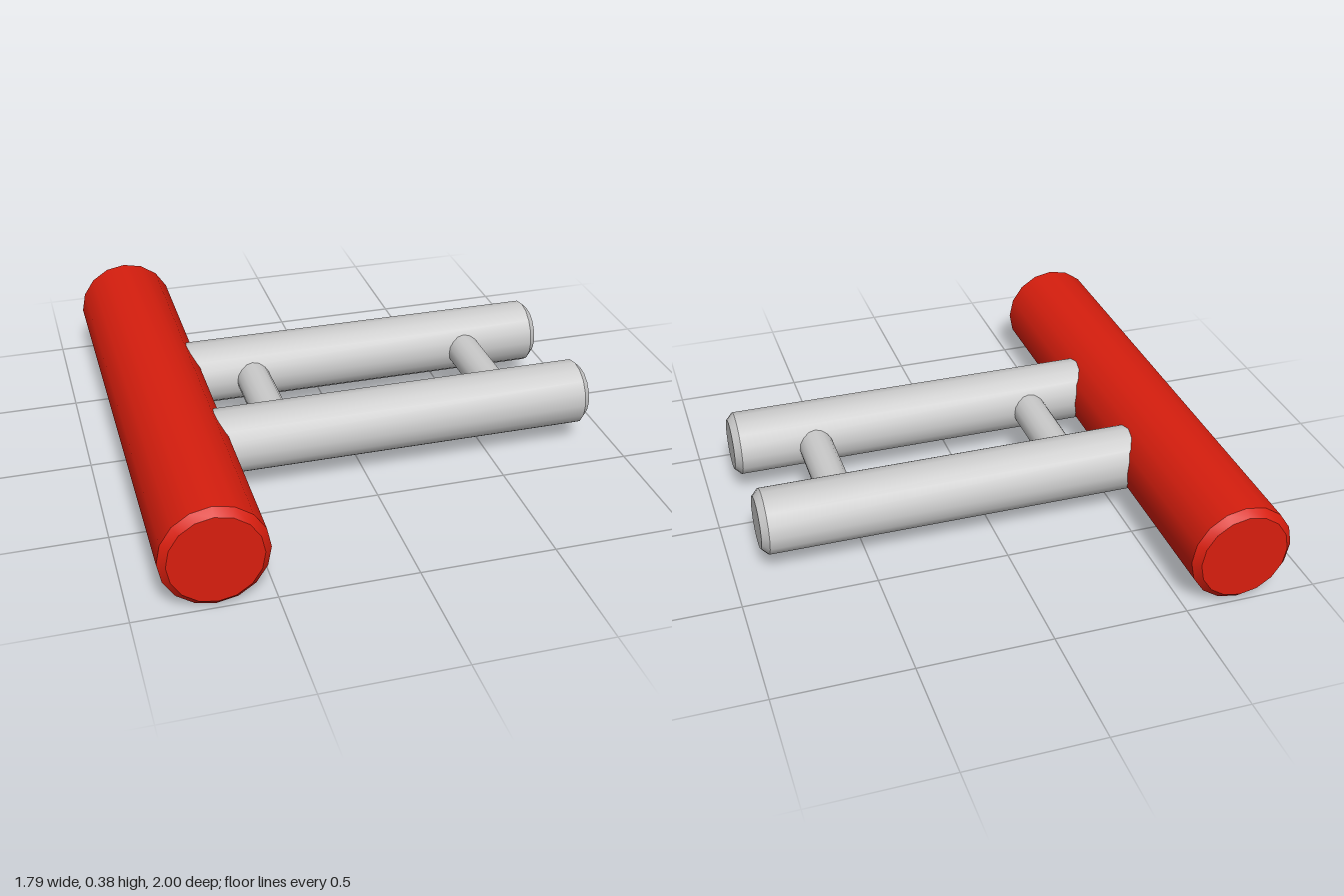
import * as THREE from 'three';
import { toCreasedNormals } from 'three/addons/utils/BufferGeometryUtils.js';

const SIDES = 16;
const AXIS_Y = 0.192;

// Round bar along y with chamfered ends, centred on the origin
function barGeometry(radius, length, chamfer) {
  const h = length / 2;
  const profile = [
    [0, -h], [radius - chamfer, -h], [radius, -h + chamfer],
    [radius, h - chamfer], [radius - chamfer, h], [0, h],
  ].map(([x, y]) => new THREE.Vector2(x, y));
  return toCreasedNormals(new THREE.LatheGeometry(profile, SIDES), 0.6);
}

function addMesh(group, name, geometry, material, x, z) {
  const mesh = new THREE.Mesh(geometry, material);
  mesh.name = name;
  mesh.position.set(x, AXIS_Y, z);
  group.add(mesh);
}

export function createModel() {
  const group = new THREE.Group();
  group.name = 'barHandle';
  const red = new THREE.MeshStandardMaterial({ color: 0xd81e0e });
  const grey = new THREE.MeshStandardMaterial({ color: 0xcccccc });

  // Long red grip running front to back
  const grip = barGeometry(0.192, 2, 0.026).rotateX(Math.PI / 2);
  addMesh(group, 'grip', grip, red, -0.705, 0);

  // Two parallel arms that start inside the grip
  const start = -0.7, end = 0.893;
  const arm = barGeometry(0.125, end - start, 0.026).rotateZ(Math.PI / 2);
  for (const [name, z] of [['frontArm', 0.275], ['backArm', -0.275]]) {
    addMesh(group, name, arm, grey, (start + end) / 2, z);
  }

  // Thin rungs joining the arms
  const rung = new THREE.CylinderGeometry(0.067, 0.067, 0.5, SIDES).rotateX(Math.PI / 2);
  for (const [name, x] of [['innerRung', -0.317], ['outerRung', 0.573]]) {
    addMesh(group, name, rung, grey, x, 0);
  }
  return group;
}
